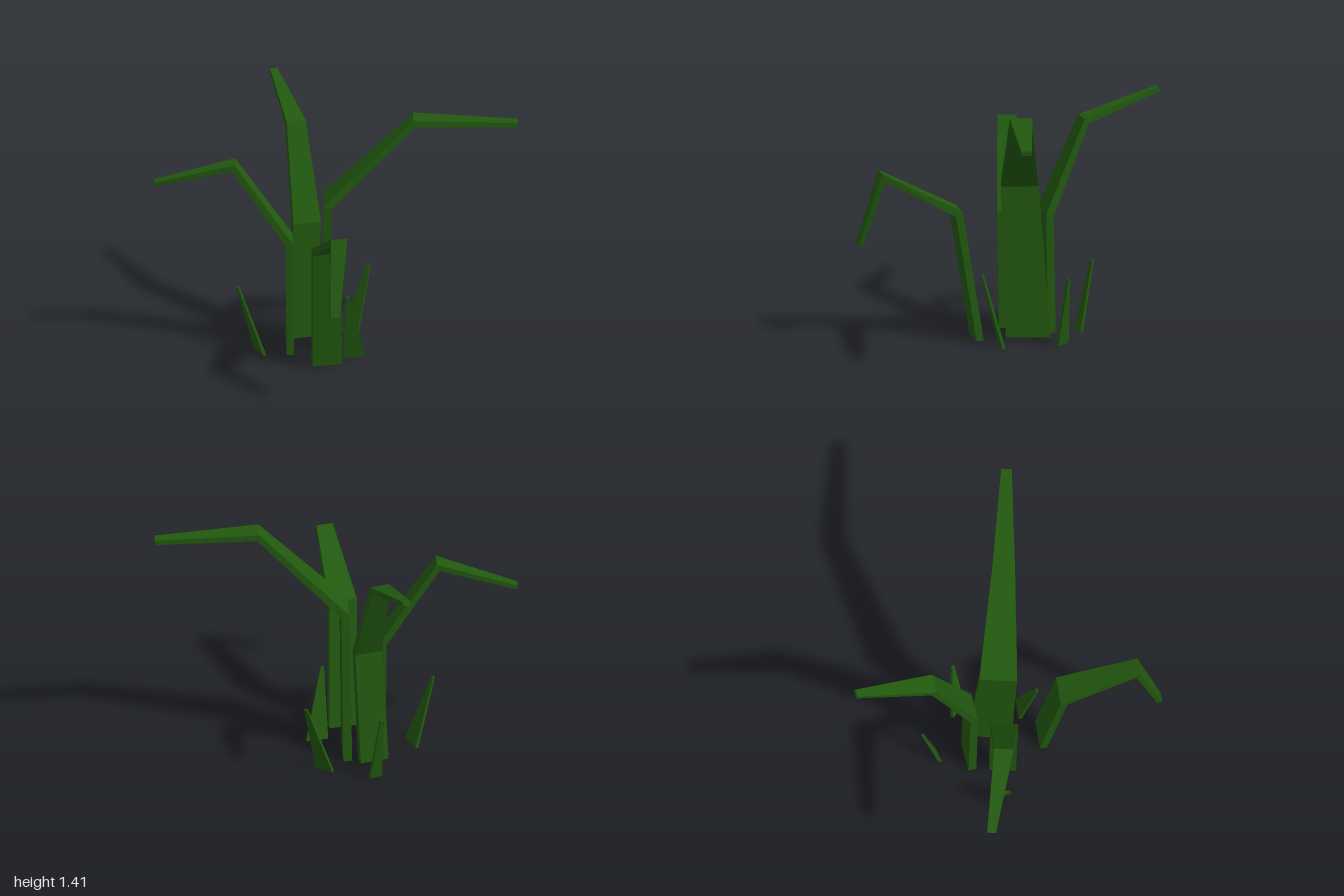
import * as THREE from 'three';

const green = new THREE.MeshStandardMaterial({ color: 0x22590f, flatShading: true });

// Lofts a four-sided blade through stations [x, y, z, width, thickness].
// (wx, wz) is the level direction of the width; level keeps every section horizontal.
function blade(name, wx, wz, stations, level = false) {
  const w = new THREE.Vector3(wx, 0, wz).normalize();
  const up = new THREE.Vector3(0, 1, 0);
  const pts = stations.map(s => new THREE.Vector3(s[0], s[1], s[2]));
  const dirs = pts.slice(1).map((p, i) => p.clone().sub(pts[i]).normalize());
  const pos = [], index = [];

  stations.forEach((s, i) => {
    // mitred section at bends, level section at the foot
    const before = dirs[Math.max(i - 1, 0)];
    const after = dirs[Math.min(i, dirs.length - 1)];
    const t = level || i === 0 ? up.clone() : before.clone().add(after).normalize();
    const stretch = level || i === 0 ? 1 : 1 / t.dot(after);
    const n = t.clone().cross(w).normalize();
    for (const [a, b] of [[1, 1], [-1, 1], [-1, -1], [1, -1]]) {
      const p = pts[i].clone()
        .addScaledVector(w, a * s[3] / 2)
        .addScaledVector(n, b * stretch * s[4] / 2);
      pos.push(p.x, p.y, p.z);
    }
  });

  for (let i = 0; i < stations.length - 1; i++) {
    for (let k = 0; k < 4; k++) {
      const a = i * 4 + k, b = i * 4 + (k + 1) % 4;
      index.push(a, b, b + 4, a, b + 4, a + 4);
    }
  }
  const e = (stations.length - 1) * 4;
  index.push(0, 3, 2, 0, 2, 1, e, e + 1, e + 2, e, e + 2, e + 3);

  const indexed = new THREE.BufferGeometry();
  indexed.setAttribute('position', new THREE.Float32BufferAttribute(pos, 3));
  indexed.setIndex(index);
  const geo = indexed.toNonIndexed();
  geo.computeVertexNormals();
  const mesh = new THREE.Mesh(geo, green);
  mesh.name = name;
  return mesh;
}

// Short straight sprout: base edge from (x0, z0) to (x1, z1), leaning to a narrow tip.
function sprout(name, x0, z0, x1, z1, tipX, tipZ) {
  const width = Math.hypot(x1 - x0, z1 - z0);
  return blade(name, x1 - x0, z1 - z0, [
    [(x0 + x1) / 2, 0, (z0 + z1) / 2, width, 0.018],
    [tipX, 0.405, tipZ, 0.02, 0.012],
  ], true);
}

export function createModel() {
  const plant = new THREE.Group();
  plant.name = 'plant';

  // long bent leaves: foot, knee, crest, tip
  plant.add(
    blade('tallLeftLeaf', 0.22, 0.975, [
      [-0.07, 0.012, -0.135, 0.25, 0.05],
      [-0.05, 0.9, -0.09, 0.21, 0.045],
      [0.425, 1.393, -0.19, 0.125, 0.036],
      [0.985, 1.37, -0.33, 0.06, 0.028],
    ]),
    blade('frontLeaf', 0.9, -0.42, [
      [0, 0.012, 0.145, 0.165, 0.042],
      [0.022, 0.743, 0.258, 0.16, 0.042],
      [0.185, 0.97, 0.648, 0.095, 0.034],
      [0.19, 0.565, 0.775, 0.055, 0.028],
    ]),
    blade('backRightLeaf', 0.87, -0.5, [
      [-0.235, 0.012, -0.21, 0.165, 0.045],
      [-0.2, 0.705, -0.208, 0.16, 0.045],
      [-0.307, 1.222, -0.405, 0.11, 0.036],
      [-0.522, 1.363, -0.787, 0.043, 0.026],
    ]),
    blade('rightLeaf', 0.22, 0.975, [
      [-0.245, 0.012, -0.01, 0.15, 0.042],
      [-0.25, 0.68, 0, 0.155, 0.04],
      [-0.55, 1.138, 0.08, 0.105, 0.034],
      [-0.99, 1.01, 0.132, 0.05, 0.024],
    ]),
  );

  // short sprouts around the foot
  plant.add(
    sprout('leftSprout', 0.175, -0.045, 0.06, 0.005, 0.107, 0.09),
    sprout('backSprout', -0.033, -0.365, 0.068, -0.325, 0.115, -0.4),
    sprout('backRightSprout', -0.305, -0.355, -0.245, -0.405, -0.323, -0.45),
    sprout('rightSprout', -0.45, -0.025, -0.372, 0.075, -0.523, 0.085),
  );
  return plant;
}
